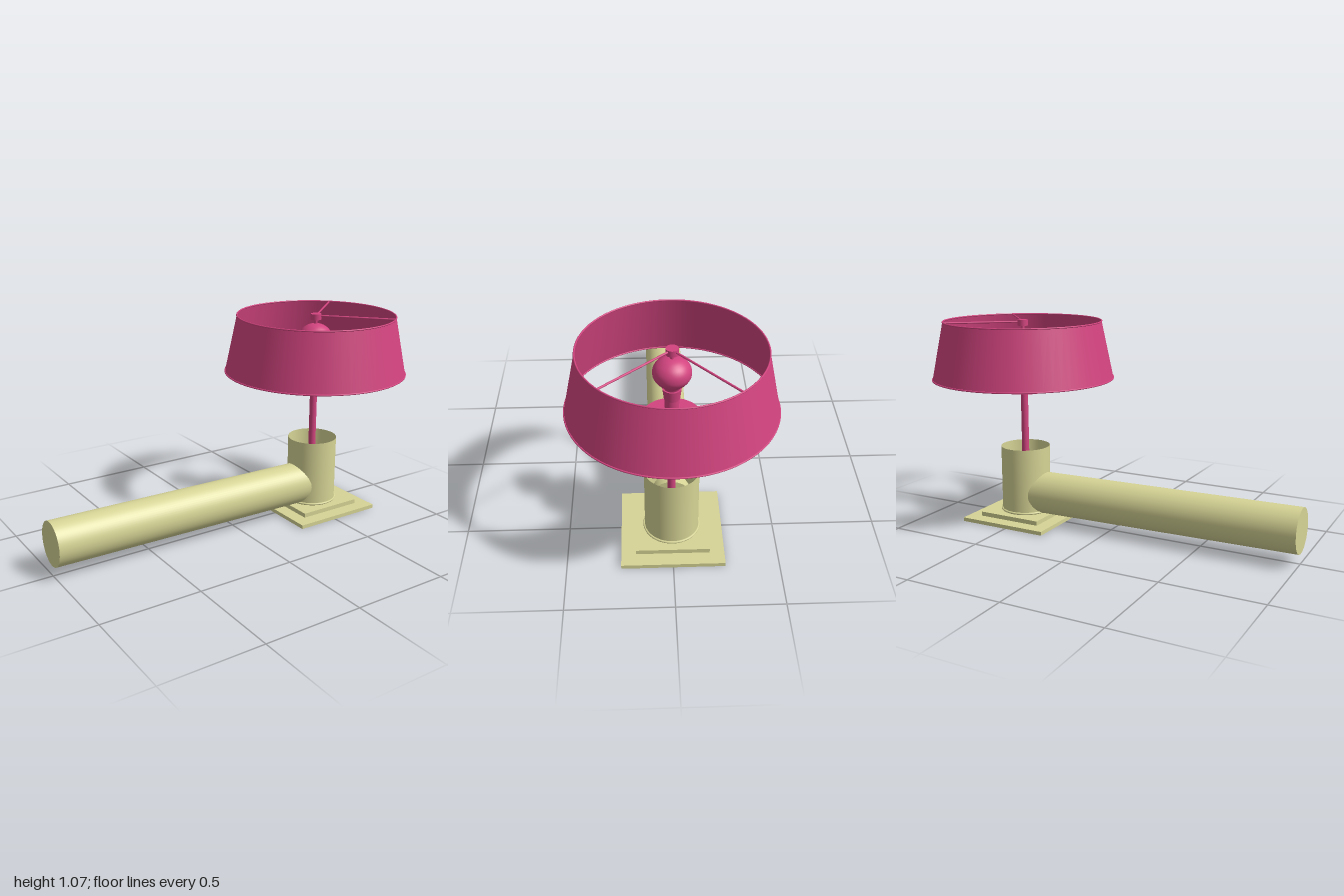
import * as THREE from 'three';

const CX = 0.522; // x of the lamp's axis

export function createModel() {
  const model = new THREE.Group();
  model.name = 'lampWithArm';
  const cream = new THREE.MeshStandardMaterial({ color: 0xd6d495, side: THREE.DoubleSide });
  cream.name = 'cream';
  const pink = new THREE.MeshStandardMaterial({ color: 0xd2447f, side: THREE.DoubleSide });
  pink.name = 'pink';

  const add = (name, geometry, material, y = 0, x = CX) => {
    const mesh = new THREE.Mesh(geometry, material);
    mesh.name = name;
    mesh.position.set(x, y, 0);
    model.add(mesh);
    return mesh;
  };
  // Upright cylinder or cone between two heights
  const column = (name, material, rBottom, rTop, y0, y1, open = false) =>
    add(name, new THREE.CylinderGeometry(rTop, rBottom, y1 - y0, 64, 1, open), material, (y0 + y1) / 2);
  // Horizontal ring
  const ring = (name, material, radius, tube, y) =>
    add(name, new THREE.TorusGeometry(radius, tube, 10, 72).rotateX(Math.PI / 2), material, y);

  // Stepped square base
  add('baseLowerStep', new THREE.BoxGeometry(0.49, 0.02, 0.49), cream, 0.01);
  add('baseUpperStep', new THREE.BoxGeometry(0.35, 0.023, 0.35), cream, 0.0315);
  ring('baseCollar', cream, 0.132, 0.006, 0.049);

  // Open-topped holder
  column('holder', cream, 0.13, 0.13, 0.043, 0.397, true);

  // Long side arm, slightly taller than wide and sloping gently to the holder
  const armEnd = 0.46;
  const arm = new THREE.CylinderGeometry(1, 1, armEnd + 1, 64);
  arm.scale(0.112, 1, 0.105);
  arm.rotateZ(-Math.PI / 2);
  const p = arm.attributes.position;
  for (let i = 0; i < p.count; i++) p.setY(i, p.getY(i) - 0.0118 * p.getX(i));
  arm.computeBoundingBox();
  add('sideArm', arm, cream, 0.155, (armEnd - 1) / 2);

  // Stem, drip disc and socket
  column('stem', pink, 0.019, 0.019, 0.04, 0.7);
  column('disc', pink, 0.138, 0.138, 0.698, 0.708);
  column('socket', pink, 0.032, 0.032, 0.708, 0.81);
  column('socketCup', pink, 0.036, 0.043, 0.81, 0.865);

  // Bulb with a narrow neck
  const bulb = [[0.034, 0.86], [0.042, 0.88], [0.065, 0.9], [0.082, 0.925], [0.086, 0.947],
    [0.082, 0.97], [0.068, 0.992], [0.045, 1.009], [0.022, 1.017], [0, 1.019]];
  const curve = new THREE.SplineCurve(bulb.map(([r, y]) => new THREE.Vector2(r, y)));
  const points = curve.getPoints(36).map(v => new THREE.Vector2(Math.max(v.x, 0), v.y));
  add('bulb', new THREE.LatheGeometry(points, 48), pink);
  column('finialStem', pink, 0.008, 0.008, 1.01, 1.045);
  column('finial', pink, 0.028, 0.028, 1.04, 1.07);

  // Open conical shade with rolled rims
  column('shade', pink, 0.474, 0.412, 0.766, 1.065, true);
  ring('shadeBottomRim', pink, 0.474, 0.004, 0.767);
  ring('shadeTopRim', pink, 0.412, 0.004, 1.064);

  // Two wire spokes from the finial to the top rim
  for (const angle of [-0.715, 0.85]) {
    const spoke = new THREE.CylinderGeometry(0.005, 0.005, 0.41, 10);
    spoke.rotateZ(Math.PI / 2).translate(0.205, 0, 0).rotateY(-angle);
    add('shadeSpoke', spoke, pink, 1.06);
  }
  return model;
}
